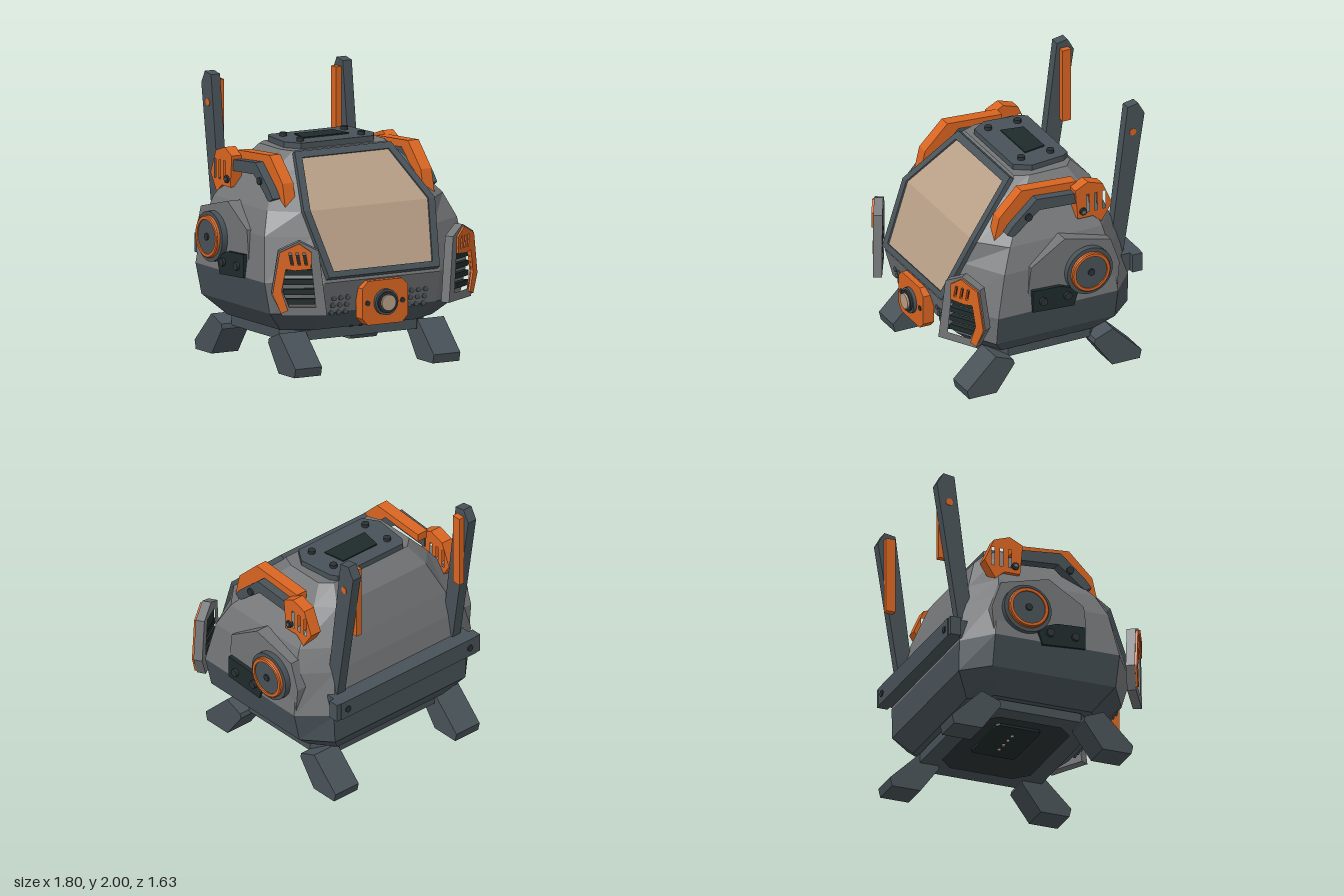
import * as THREE from 'three';
import { ConvexGeometry } from 'three/addons/geometries/ConvexGeometry.js';

const paint = (name, color) => Object.assign(new THREE.MeshStandardMaterial({ color }), { name });

export function createModel() {
  const root = new THREE.Group();
  root.name = 'roverPod';
  const grey = paint('hull grey', 0x727476);
  const slate = paint('slate', 0x485258);
  const dark = paint('dark panel', 0x1f2b2b);
  const orange = paint('orange', 0xd96521);
  const tan = paint('tan glass', 0xb89f87);
  const steel = paint('bolt black', 0x2b3134);

  const add = (name, geo, mat, parent = root) => {
    const m = new THREE.Mesh(geo, mat);
    m.name = name;
    parent.add(m);
    return m;
  };
  const box = (name, mat, x0, x1, y0, y1, z0, z1, parent) => {
    const g = new THREE.BoxGeometry(x1 - x0, y1 - y0, z1 - z0);
    return add(name, g.translate((x0 + x1) / 2, (y0 + y1) / 2, (z0 + z1) / 2), mat, parent);
  };
  const shapeOf = (pts, holes = []) => {
    const s = new THREE.Shape(pts.map(p => new THREE.Vector2(...p)));
    holes.forEach(h => s.holes.push(new THREE.Path(h.map(p => new THREE.Vector2(...p)))));
    return s;
  };
  const extrude = (pts, depth, holes) =>
    new THREE.ExtrudeGeometry(shapeOf(pts, holes), { depth, bevelEnabled: false });
  // Plate with a [z, y] outline, spanning x0..x1 on side s
  const sidePlate = (name, mat, s, pts, x0, x1, holes = []) => {
    const flip = a => a.map(([z, y]) => [-z, y]);
    const g = extrude(flip(pts), x1 - x0, holes.map(flip)).rotateY(Math.PI / 2);
    return add(name, g.translate(s > 0 ? x0 : -x1, 0, 0), mat);
  };
  // Horizontal plate with an [x, z] outline
  const flatPlate = (name, mat, pts, y0, y1, holes = []) => {
    const flip = a => a.map(([x, z]) => [x, -z]);
    const g = extrude(flip(pts), y1 - y0, holes.map(flip)).rotateX(-Math.PI / 2);
    return add(name, g.translate(0, y0, 0), mat);
  };
  const disc = (name, mat, axis, r, len, x, y, z, seg = 24) => {
    const g = new THREE.CylinderGeometry(r, r, len, seg);
    if (axis === 'x') g.rotateZ(Math.PI / 2);
    if (axis === 'z') g.rotateX(Math.PI / 2);
    return add(name, g.translate(x, y, z), mat);
  };
  const chamfered = (w, h, c, cx = 0, cy = 0) => [
    [w, h - c], [w - c, h], [c - w, h], [-w, h - c], [-w, c - h], [c - w, -h], [w - c, -h], [w, c - h],
  ].map(([a, b]) => [a + cx, b + cy]);

  // Hull: eight-sided rings [y, half width, front z, back z, front half, side front z, back half, side back z]
  const rings = [
    [0.30, 0.63, 0.48, -0.55, 0.42, 0.36, 0.50, -0.38],
    [0.45, 0.79, 0.65, -0.66, 0.49, 0.48, 0.62, -0.47],
    [0.68, 0.84, 0.72, -0.66, 0.48, 0.49, 0.63, -0.47],
    [1.00, 0.80, 0.59, -0.60, 0.51, 0.42, 0.57, -0.43],
    [1.17, 0.73, 0.51, -0.55, 0.55, 0.34, 0.53, -0.40],
    [1.42, 0.54, 0.25, -0.46, 0.44, 0.14, 0.42, -0.34],
    [1.54, 0.43, 0.13, -0.34, 0.39, 0.03, 0.35, -0.27],
  ].map(([y, w, f, b, fx, fz, bx, bz]) => [
    [fx, y, f], [w, y, fz], [w, y, bz], [bx, y, b], [-bx, y, b], [-w, y, bz], [-w, y, fz], [-fx, y, f]]);
  const faces = { upper: [], lower: [] };
  for (let i = 0; i < rings.length - 1; i++) {
    for (let j = 0; j < 8; j++) {
      const k = (j + 1) % 8, A = rings[i], B = rings[i + 1];
      const frontSide = j === 7 || j === 0 || j === 6;
      const part = i === 0 || (i === 1 && !frontSide) ? 'lower' : 'upper';
      faces[part].push(A[j], A[k], B[k], A[j], B[k], B[j]);
    }
  }
  const last = rings[rings.length - 1];
  for (let j = 1; j < 7; j++) {
    faces.upper.push(last[0], last[j], last[j + 1]);
    faces.lower.push(rings[0][0], rings[0][j + 1], rings[0][j]);
  }
  for (const part of ['upper', 'lower']) {
    const g = new THREE.BufferGeometry();
    g.setAttribute('position', new THREE.Float32BufferAttribute(faces[part].flat(), 3));
    g.computeVertexNormals();
    add(part + 'Hull', g, part === 'upper' ? grey : slate);
  }

  // Windscreen: folded six-sided frame and two panes
  const V = (x, y, z) => new THREE.Vector3(x, y, z);
  const outer = [V(-.40, 1.53, .15), V(.40, 1.53, .15), V(.545, 1.17, .52), V(.46, .71, .73), V(-.46, .71, .73), V(-.545, 1.17, .52)];
  const inner = [V(-.36, 1.49, .19), V(.36, 1.49, .19), V(.49, 1.17, .52), V(.41, .75, .712), V(-.41, .75, .712), V(-.49, 1.17, .52)];
  const slab = (name, pts, mat, from, to) => add(name, new ConvexGeometry(
    [from, to].flatMap(t => pts.map(p => p.clone().add(V(0, t * 0.6, t))))), mat);
  for (let i = 0; i < 6; i++) {
    const k = (i + 1) % 6;
    slab('windscreenFrame', [outer[i], outer[k], inner[k], inner[i]], slate, -0.02, 0.022);
  }
  slab('upperPane', [inner[0], inner[1], inner[2], inner[5]], tan, 0.002, 0.01);
  slab('lowerPane', [inner[5], inner[2], inner[3], inner[4]], tan, 0.002, 0.01);

  // Roof hatch
  flatPlate('roofPlate', slate, [[-.31, -.34], [.31, -.34], [.345, -.29], [.375, -.02], [.30, .095], [-.30, .095], [-.375, -.02], [-.345, -.29]], 1.53, 1.582);
  flatPlate('roofInset', dark, [[-.16, -.23], [.16, -.23], [.19, -.06], [-.19, -.06]], 1.582, 1.591);
  for (const x of [-.255, .255]) for (const z of [-.23, .005]) disc('roofBolt', steel, 'y', .027, .03, x, 1.592, z, 16);

  // Front camera
  add('cameraPlate', extrude(chamfered(.19, .16, .05, 0, .51), .09).translate(0, 0, .67), orange);
  disc('cameraBezel', slate, 'z', .095, .03, 0, .51, .77);
  disc('cameraBarrel', steel, 'z', .078, .04, 0, .51, .78);
  disc('cameraLens', tan, 'z', .058, .06, 0, .51, .785);
  for (const s of [-1, 1]) disc('cameraScrew', steel, 'z', .02, .008, s * .145, .51, .762, 12);

  // Underside: frame, docking plate, contacts
  flatPlate('baseFrame', slate, chamfered(.60, .47, .14, 0, -.04), .22, .29, [chamfered(.46, .34, .10, 0, -.04)]);
  flatPlate('baseSeal', steel, chamfered(.58, .45, .13, 0, -.04), .28, .302);
  flatPlate('dockPlate', dark, chamfered(.25, .17, .02, 0, -.04), .262, .282);
  for (let i = 0; i < 4; i++) {
    disc('dockContact', tan, 'y', .012, .02, -.12 + i * .08, .26, -.04, 10);
    box('sealClip', steel, -.13 + i * .08, -.11 + i * .08, .295, .32, .42, .49);
  }

  // Rear bumper
  box('rearBumper', slate, -.64, .64, .70, .84, -.755, -.60);

  for (const s of [-1, 1]) {
    box('bumperEnd', slate, s > 0 ? .63 : -.68, s > 0 ? .68 : -.63, .70, .84, -.75, -.67);
    disc('bumperBolt', steel, 'z', .025, .012, s * .58, .77, -.757, 12);

    // Legs, front and rear
    for (const d of [-1, 1]) {
      const leg = [[.70, .065], [.685, 0], [.465, 0], [.32, .2], [.33, .235], [.47, .29]];
      sidePlate(d > 0 ? 'frontLeg' : 'rearLeg', slate, s, leg.map(([z, y]) => [d * z - .04, y]), .465, .685);
    }

    // Side panel and wheel hub
    sidePlate('sidePanel', grey, s, [[.26, .68], [.22, 1.02], [-.05, 1.19], [-.42, 1.10], [-.49, .90], [-.47, .68]], .72, .825);
    sidePlate('accessPlate', dark, s, [[.22, .845], [.0, .835], [-.15, .78], [-.11, .655], [.22, .675]], .78, .855);
    for (const z of [.14, -.055]) disc('accessBolt', steel, 'x', .03, .04, s * .858, .75, z, 14);
    disc('hubRim', slate, 'x', .182, .07, s * .835, .91, -.23, 36);
    const ring = new THREE.LatheGeometry([[.125, 0], [.153, 0], [.153, .05], [.146, .057], [.125, .057], [.125, 0]]
      .map(p => new THREE.Vector2(...p)), 36).toNonIndexed();
    ring.computeVertexNormals();
    ring.rotateZ(-s * Math.PI / 2).translate(s * .84, .91, -.23);
    add('hubRing', ring, orange);
    disc('hubCap', slate, 'x', .126, .03, s * .872, .91, -.23, 36);
    disc('hubBolt', steel, 'x', .027, .02, s * .888, .91, -.23, 8);

    // Shoulder arch with bar and slotted guard
    sidePlate('shoulderArch', orange, s, [[.41, 1.19], [.37, 1.36], [.19, 1.54], [-.25, 1.51], [-.25, 1.45], [.10, 1.48], [.31, 1.29], [.35, 1.19]], .53, .62);
    sidePlate('shoulderBar', slate, s, [[.34, 1.25], [.29, 1.31], [.10, 1.48], [-.24, 1.45], [-.24, 1.37], [.08, 1.39], [.29, 1.22]], .60, .685);
    const slots = [-.30, -.365, -.43].map(z => [[z - .012, 1.29], [z + .012, 1.29], [z + .012, 1.43], [z - .012, 1.43]]);
    sidePlate('shoulderGuard', orange, s, [[-.20, 1.48], [-.30, 1.53], [-.42, 1.49], [-.495, 1.32], [-.41, 1.19], [-.34, 1.25], [-.22, 1.25]], .61, .70, slots);
    disc('barBolt', steel, 'x', .028, .03, s * .685, 1.355, .17, 14);
    disc('guardBolt', steel, 'x', .028, .03, s * .70, 1.305, -.26, 14);
    disc('guardBoltCore', grey, 'x', .013, .008, s * .717, 1.305, -.26, 12);

    // Rear mast with marker strip
    sidePlate('mast', slate, s, [[-.68, 1.985], [-.765, 2.0], [-.815, 1.91], [-.64, .80], [-.53, .80]], .51, .585);
    box('mastStrip', orange, s > 0 ? .465 : -.51, s > 0 ? .51 : -.465, 1.37, 1.94, -.77, -.70);
    disc('mastPin', orange, 'x', .027, .008, s * .586, 1.78, -.72, 14);

    // Front dot grille
    for (let i = 0; i < 3; i++) for (let j = 0; j < 3; j++) {
      const y = .45 + j * .054;
      disc('grilleDot', slate, 'z', .02, .014, s * (.265 + i * .058), y, .652 + (y - .45) * .3, 12);
    }

    // Front lamp pod, turned outward; [u, y] with u pointing outward
    const pod = new THREE.Group();
    pod.name = 'lampPod';
    pod.position.set(s * .665, 0, .675);
    pod.rotation.y = s * Math.PI / 6;
    root.add(pod);
    const podPlate = (name, mat, pts, z0, z1, holes = []) => {
      const flip = a => a.map(([u, y]) => [s * u, y]);
      add(name, extrude(flip(pts), z1 - z0, holes.map(flip)).translate(0, 0, z0), mat, pod);
    };
    podPlate('podFrame', grey, [[-.20, .46], [-.14, .93], [.0, 1.0], [.15, .93], [.20, .62], [.12, .46]], -.035, .03,
      [[[-.12, .52], [-.08, .90], [.08, .90], [.12, .64], [.07, .52]]]);
    const vents = [-.05, .0, .05].map(u => [[u - .012, .83], [u + .008, .83], [u + .025, .92], [u + .005, .92]]);
    podPlate('podTrim', orange, [[-.09, .92], [.0, .985], [.14, .92], [.19, .62], [.13, .48], [.08, .50], [.125, .64], [.095, .80], [.03, .79], [-.085, .80]],
      .015, .045, vents);
    for (let i = 0; i < 4; i++) {
      const y = .56 + i * .07;
      box('podLouver', dark, -.115, .115, y - .02, y + .02, -.03, .012, pod);
    }
    box('podVentBacking', dark, -.08, .09, .80, .90, -.03, .0, pod);
  }
  return root;
}
